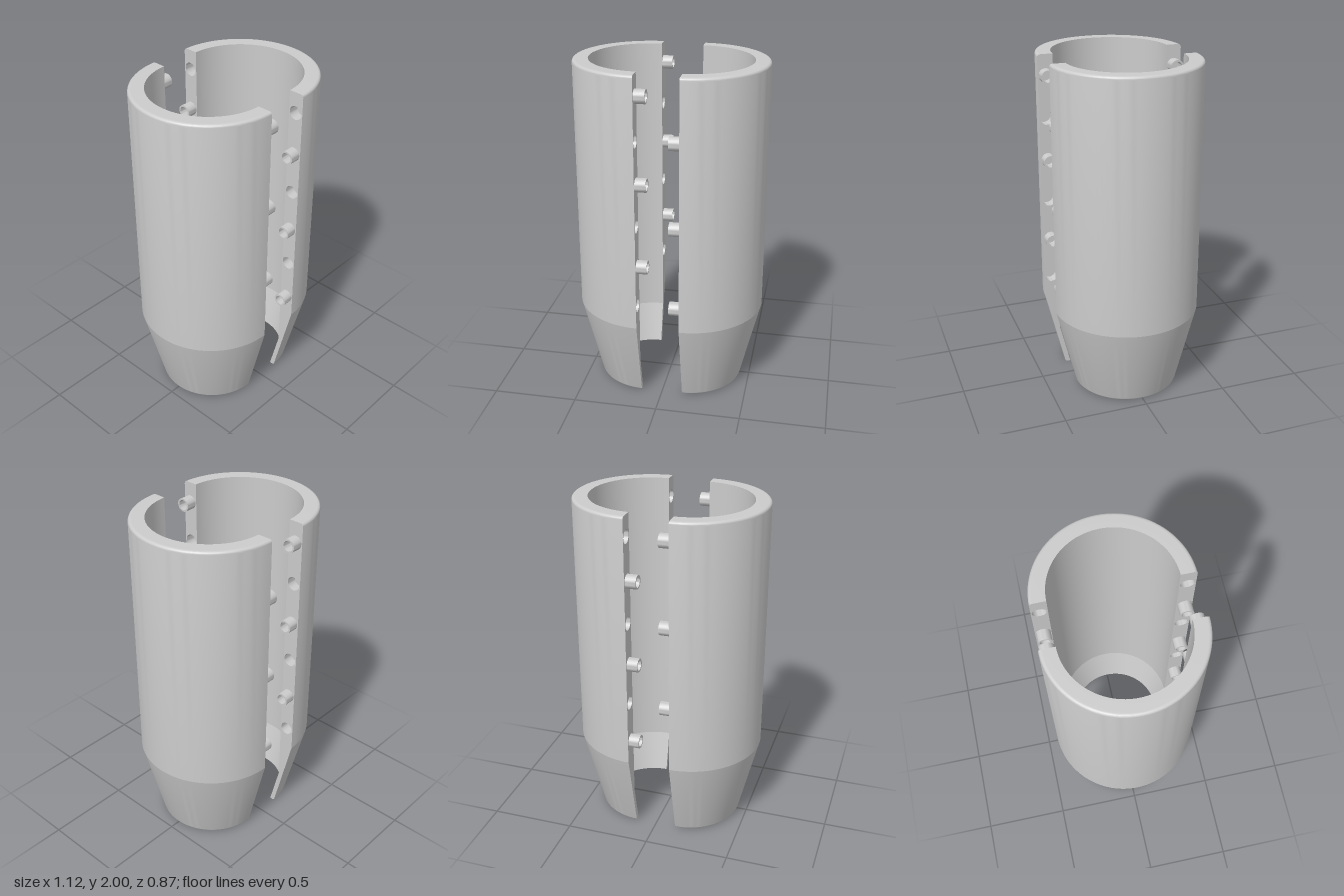
import * as THREE from 'three';
import { toCreasedNormals } from 'three/addons/utils/BufferGeometryUtils.js';

const material = new THREE.MeshStandardMaterial({ color: 0xcccccc });
const GAP = 0.125;            // distance of each cut plane from the centre
const PIN_Z = 0.39;           // pins and sockets sit in the middle of the wall
const PIN_R = 0.04;
const HIGH_ROW = [1.88, 1.38, 0.88];
const LOW_ROW = [1.63, 1.13, 0.63];

// Wall cross-section (radius, height); side = -1 mirrors it across the axis
function wallSection(side = 1) {
  const s = new THREE.Shape();
  const x = (r) => r * side;
  s.moveTo(x(0.297), 0);
  s.quadraticCurveTo(x(0.313), 0, x(0.317), 0.015);
  s.lineTo(x(0.435), 0.5);
  s.lineTo(x(0.435), 1.98);
  s.quadraticCurveTo(x(0.435), 2, x(0.415), 2);
  s.lineTo(x(0.345), 2);
  s.lineTo(x(0.345), 0.25);
  s.lineTo(x(0.283), 0);
  s.lineTo(x(0.297), 0);
  return s;
}

function mesh(name, geometry) {
  const m = new THREE.Mesh(geometry, material);
  m.name = name;
  return m;
}

// Round part turned about an axis that points out of the cut face (-x)
function turned(points) {
  const lathe = new THREE.LatheGeometry(points.map(([r, y]) => new THREE.Vector2(r, y)), 28);
  return toCreasedNormals(lathe, 0.6).rotateZ(Math.PI / 2);
}

const pinGeometry = turned([[PIN_R, 0], [PIN_R, 0.0625], [0.03, 0.0625], [0.03, 0], [0, 0]]);
const socketGeometry = turned([[PIN_R, 0], [PIN_R, -0.0625], [0, -0.0625]]);

function createHalf(name, pinRow, socketRow) {
  const half = new THREE.Group();
  half.name = name;

  // Half-round wall, tapered at the foot
  const wall = new THREE.LatheGeometry(wallSection().getPoints(10), 48, 0, Math.PI);
  half.add(mesh('shellWall', toCreasedNormals(wall, 0.22)));

  for (const side of [1, -1]) {
    // Flat cut face, pierced by the sockets
    const section = wallSection(side);
    for (const y of socketRow) {
      const hole = new THREE.Path();
      hole.absarc(side * PIN_Z, y, PIN_R, 0, Math.PI * 2, true);
      section.holes.push(hole);
    }
    half.add(mesh('cutFace', new THREE.ShapeGeometry(section, 14).rotateY(-Math.PI / 2)));

    // Hollow pins and the blind sockets that receive the other half's pins
    for (const [part, geometry, row] of [
      ['alignmentPin', pinGeometry, pinRow],
      ['alignmentSocket', socketGeometry, socketRow],
    ]) {
      for (const y of row) {
        const m = mesh(part, geometry);
        m.position.set(0, y, side * PIN_Z);
        half.add(m);
      }
    }
  }
  return half;
}

export function createModel() {
  const model = new THREE.Group();
  model.name = 'splitSleeve';

  const left = createHalf('leftHalf', LOW_ROW, HIGH_ROW);
  left.position.x = GAP;

  const right = createHalf('rightHalf', HIGH_ROW, LOW_ROW);
  right.position.x = -GAP;
  right.rotation.y = Math.PI;

  model.add(left, right);
  return model;
}
